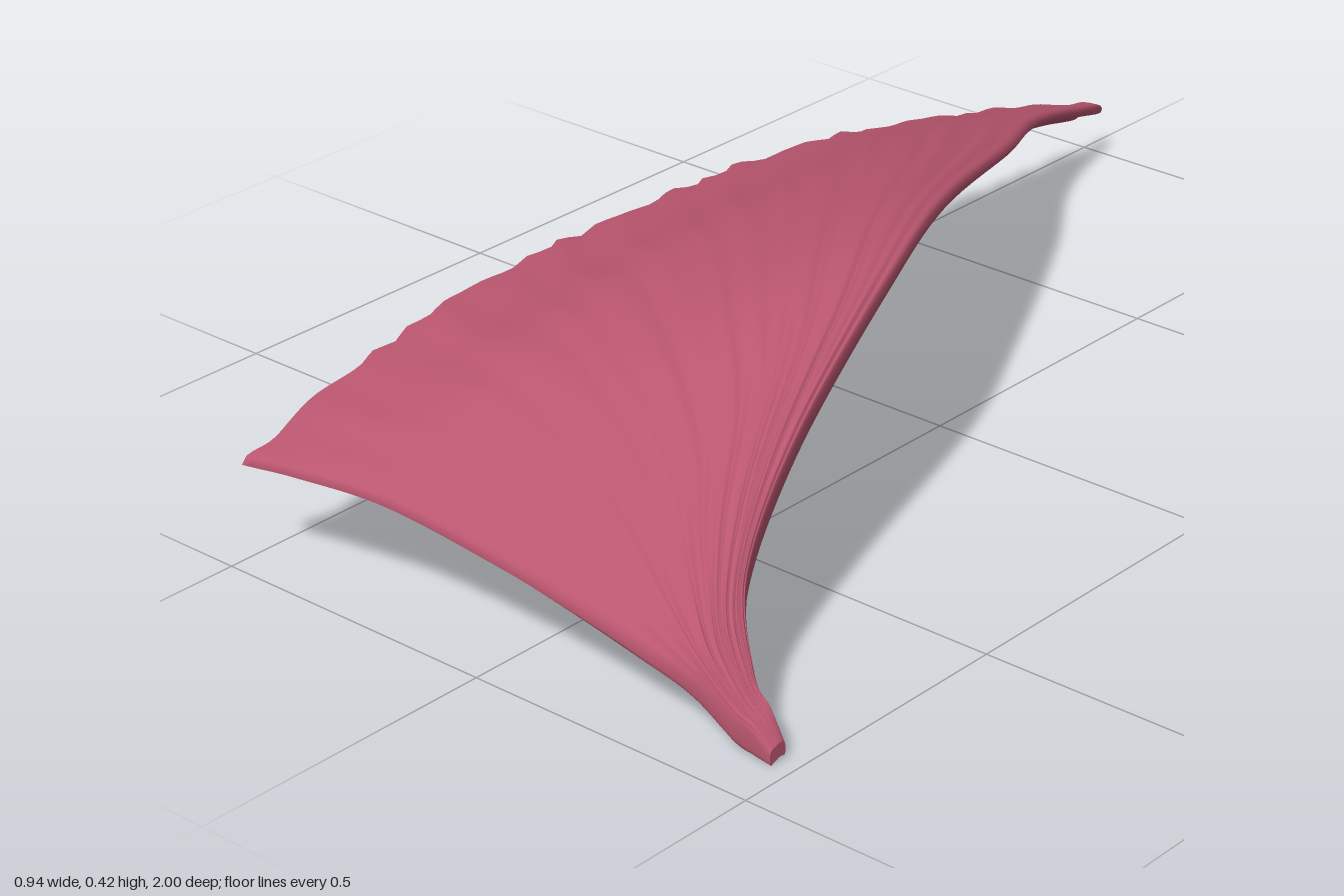
import * as THREE from 'three';
import { mergeVertices } from 'three/addons/utils/BufferGeometryUtils.js';

// Sections across the sheet: x, back z, front z, thickness, then top heights from back to front
const SECTIONS = [
  [-0.462, -1.0, 0.995, 0.035, [0.10, 0.20, 0.275, 0.295, 0.28, 0.19]],
  [-0.36, -0.70, 0.985, 0.037, [0.20, 0.275, 0.31, 0.315, 0.285, 0.20]],
  [-0.2, -0.42, 0.965, 0.038, [0.285, 0.345, 0.365, 0.355, 0.305, 0.20]],
  [0.0, -0.02, 0.945, 0.042, [0.39, 0.408, 0.39, 0.35, 0.28, 0.168]],
  [0.14, 0.27, 0.93, 0.045, [0.41, 0.39, 0.345, 0.29, 0.22, 0.135]],
  [0.25, 0.60, 0.92, 0.045, [0.315, 0.285, 0.25, 0.21, 0.16, 0.105]],
  [0.33, 0.80, 0.915, 0.045, [0.205, 0.18, 0.155, 0.13, 0.11, 0.085]],
  [0.4, 0.867, 0.917, 0.045, [0.10, 0.095, 0.085, 0.075, 0.065, 0.052]],
  [0.44, 0.88, 0.918, 0.04, [0.065, 0.065, 0.06, 0.055, 0.05, 0.04]],
  [0.468, 0.885, 0.916, 0.022, [0.024, 0.026, 0.026, 0.024, 0.022, 0.018]],
];
const ALONG = 90, ACROSS = 110;

// Surface through rows of points, facing (step within a row) x (step between rows)
function gridGeometry(rows) {
  const m = rows[0].length, index = [];
  for (let i = 0; i < rows.length - 1; i++) {
    for (let j = 0; j < m - 1; j++) {
      const a = i * m + j, c = a + m;
      index.push(a, a + 1, c, a + 1, c + 1, c);
    }
  }
  const geometry = new THREE.BufferGeometry().setFromPoints(rows.flat());
  geometry.setIndex(index);
  const merged = mergeVertices(geometry, 1e-5);
  merged.computeVertexNormals();
  return merged;
}

// Fine fibre ridges that follow the fan towards the tendon
function fibres(v, t) {
  return 0.45 * Math.sin(v * 95 + 2 * Math.sin(t * 5)) +
    0.35 * Math.sin(v * 57 + 3 * t) + 0.2 * Math.sin(v * 151 - 4 * t);
}

export function createModel() {
  const group = new THREE.Group();
  const muscle = new THREE.MeshStandardMaterial({ color: 0xba566f });
  muscle.name = 'muscle red';

  // Lengthwise guide curves, plus one that carries the thickness
  const guides = [0, 1, 2, 3, 4, 5].map((k) => new THREE.CatmullRomCurve3(
    SECTIONS.map(([x, back, front, , y]) =>
      new THREE.Vector3(x, y[k], back + (front - back) * k / 5)), false, 'catmullrom', 0.5));
  const thickness = new THREE.CatmullRomCurve3(
    SECTIONS.map((s) => new THREE.Vector3(s[0], s[3], 0)), false, 'catmullrom', 0.5);

  const tops = [], bottoms = [];
  for (let i = 0; i <= ALONG; i++) {
    const t = i / ALONG;
    const section = new THREE.CatmullRomCurve3(guides.map((g) => g.getPoint(t)), false, 'catmullrom', 0.5);
    const thick = thickness.getPoint(t).y;
    const ridge = 0.0035 * Math.min(1, 3.5 * (1 - t));
    const top = [], bottom = [];
    for (let j = 0; j <= ACROSS; j++) {
      // Samples gather at the borders, where the section rounds off
      const u = j / ACROSS;
      const v = 0.6 * u + 0.4 * (0.5 - 0.5 * Math.cos(Math.PI * u));
      const round = Math.sqrt(Math.max(0, 1 - Math.pow(Math.abs(2 * v - 1), 14)));
      const p = section.getPoint(v);
      const f = fibres(v, t) * ridge * round;
      // Slightly frayed origin edge
      const fray = 0.006 * Math.sin(v * 120 + Math.sin(v * 37) * 2) * Math.max(0, 1 - t * 25);
      const middle = p.y - thick / 2;
      top.push(new THREE.Vector3(p.x + fray, middle + round * thick / 2 + f, p.z));
      bottom.push(new THREE.Vector3(p.x + fray, middle - round * thick / 2 + f * 0.8, p.z));
    }
    tops.push(top);
    bottoms.push(bottom);
  }

  const add = (name, rows) => {
    const mesh = new THREE.Mesh(gridGeometry(rows), muscle);
    mesh.name = name;
    group.add(mesh);
  };
  // Closed fan-shaped belly and its two cut ends
  add('muscleBelly', tops.map((top, i) => [...top, ...bottoms[i].slice(0, -1).reverse()]));
  add('originEdge', [bottoms[0], tops[0]]);
  add('tendonTip', [tops[ALONG], bottoms[ALONG]]);
  return group;
}
